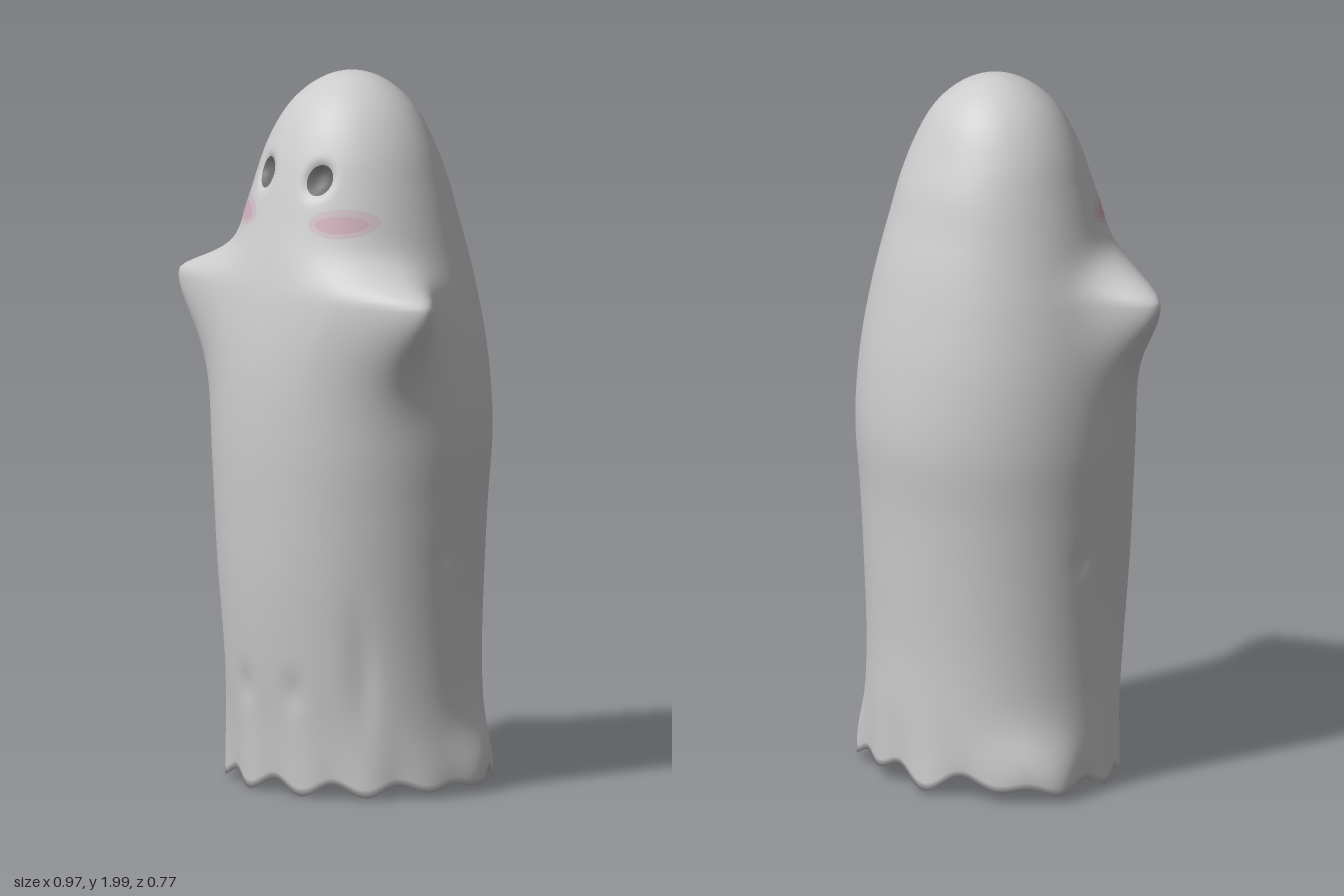
import * as THREE from 'three';

// Sheet profile against s = sqrt(2 - y): half width, front depth, back depth
const heights = [2, 1.95, 1.9, 1.8, 1.7, 1.6, 1.5, 1.4, 1.2, 1.0, 0.8, 0.6, 0.4, 0.2, 0];
const sections = [
  0, 0, 0, 0.13, 0.13, 0.125, 0.18, 0.178, 0.17, 0.238, 0.232, 0.22, 0.272, 0.267, 0.26,
  0.3, 0.297, 0.287, 0.325, 0.327, 0.315, 0.35, 0.351, 0.337, 0.385, 0.378, 0.37,
  0.395, 0.385, 0.383, 0.385, 0.38, 0.367, 0.376, 0.37, 0.356, 0.372, 0.35, 0.347,
  0.376, 0.325, 0.346, 0.385, 0.308, 0.342,
];
const profile = new THREE.CubicInterpolant(heights.map((y) => Math.sqrt(2 - y)), sections, 3);

const bell = (a, b, power = 2) => Math.exp(-Math.pow(Math.hypot(a, b), power));

// Point on the draped sheet at angle a (0 = front, +x next) and height y
function sheetPoint(a, y) {
  const [w, front, back] = profile.evaluate(Math.sqrt(Math.max(0, 2 - y)));
  const c = Math.cos(a);
  let x = w * Math.sin(a);
  let z = c * (c > 0 ? front : back);
  const baseX = x, baseZ = z;
  const ax = Math.abs(baseX), side = Math.sign(baseX);

  // raised arms, pulling the cloth below them
  const reach = baseZ > 0.2 ? 0.125 : 0.115;
  const arm = bell((y - 1.41) / (y > 1.41 ? 0.068 : 0.18), (baseZ - 0.2) / reach, 1.75);
  x += side * 0.192 * arm * Math.min(1, ax / 0.15);

  if (c > 0) {
    // eye sockets
    z -= 0.028 * bell((ax - 0.1) / 0.034, (y - 1.73) / 0.042, 3);
    // small creases in the lower front
    z -= 0.008 * bell((ax - 0.09) / 0.035, (y - 0.3) / 0.05);
    z -= 0.014 * bell((ax - 0.27) / 0.03, (y - 0.36) / 0.16);
  }
  // side creases
  x -= side * 0.006 * bell((baseZ - 0.01) / 0.03, (y - 0.68) / 0.04) * Math.min(1, ax / 0.2);

  // flared, scalloped hem, calmer at the sides
  const t = Math.max(0, 1 - y / 0.3);
  const rear = (1 - c) / 2;
  const wave = Math.cos(12 * a) * (0.5 + 0.5 * c * c);
  const flare = 1 - t * t * (0.025 * wave + 0.02 * rear * Math.sin(7 * a));
  x *= flare;
  z *= 1 + (flare - 1) * 0.6;
  x += side * 0.047 * bell((baseZ + 0.14) / 0.14, (y - 0.04) / 0.13) * Math.min(1, ax / 0.2);
  const hem = 0.026 + 0.02 * wave + rear * (0.022 + 0.012 * Math.sin(7 * a));
  return new THREE.Vector3(x, y + hem * t, z);
}

// Closed rings of points joined into a smooth surface
function ringGeometry(rows, columns, pointAt) {
  const positions = [], index = [];
  for (let i = 0; i <= rows; i++) {
    for (let j = 0; j < columns; j++) positions.push(...pointAt(i, j).toArray());
  }
  for (let i = 0; i < rows; i++) {
    for (let j = 0; j < columns; j++) {
      const p = i * columns + j, q = i * columns + ((j + 1) % columns);
      if (i > 0) index.push(p, p + columns, q);
      index.push(q, p + columns, q + columns);
    }
  }
  const geometry = new THREE.BufferGeometry();
  geometry.setAttribute('position', new THREE.Float32BufferAttribute(positions, 3));
  geometry.setIndex(index);
  geometry.computeVertexNormals();
  return geometry;
}

// Oval patch lying on the front of the sheet
function facePatch(name, color, cx, cy, rx, ry, lift) {
  const geometry = ringGeometry(8, 32, (i, j) => {
    const r = i / 8, q = (j / 32) * Math.PI * 2;
    const x = cx + rx * r * Math.cos(q), y = cy + ry * r * Math.sin(q);
    const w = profile.evaluate(Math.sqrt(2 - y))[0];
    const a = Math.asin(THREE.MathUtils.clamp(x / w, -1, 1));
    return sheetPoint(a, y).add(new THREE.Vector3(Math.sin(a), 0.25, Math.cos(a)).multiplyScalar(lift));
  });
  const mesh = new THREE.Mesh(geometry, new THREE.MeshStandardMaterial({ color }));
  mesh.name = name;
  return mesh;
}

export function createModel() {
  const group = new THREE.Group();
  group.name = 'ghost';

  // sheet body, closed underneath by a shallow hollow inside the hem
  const rows = 170, hollow = 16, columns = 180;
  const body = new THREE.Mesh(
    ringGeometry(rows + hollow, columns, (i, j) => {
      const a = (j / columns) * Math.PI * 2;
      const s = Math.SQRT2 * Math.min(1, i / rows);
      const p = sheetPoint(a, Math.max(0, 2 - s * s));
      const inset = 1 - Math.max(0, i - rows) / hollow;
      return p.set(p.x * inset, THREE.MathUtils.lerp(0.14, p.y, inset * inset), p.z * inset);
    }),
    new THREE.MeshStandardMaterial({ color: 0xcccccc }),
  );
  body.name = 'sheetBody';
  group.add(body);

  // eyes and blushing cheeks, mirrored
  for (const [side, label] of [[1, 'left'], [-1, 'right']]) {
    group.add(
      facePatch(label + 'Eye', 0x6a6a6a, side * 0.1, 1.73, 0.035, 0.042, 0.002),
      facePatch(label + 'CheekEdge', 0xccbdc3, side * 0.18, 1.617, 0.078, 0.04, 0.001),
      facePatch(label + 'Cheek', 0xccacb8, side * 0.18, 1.614, 0.058, 0.024, 0.002),
    );
  }
  return group;
}
